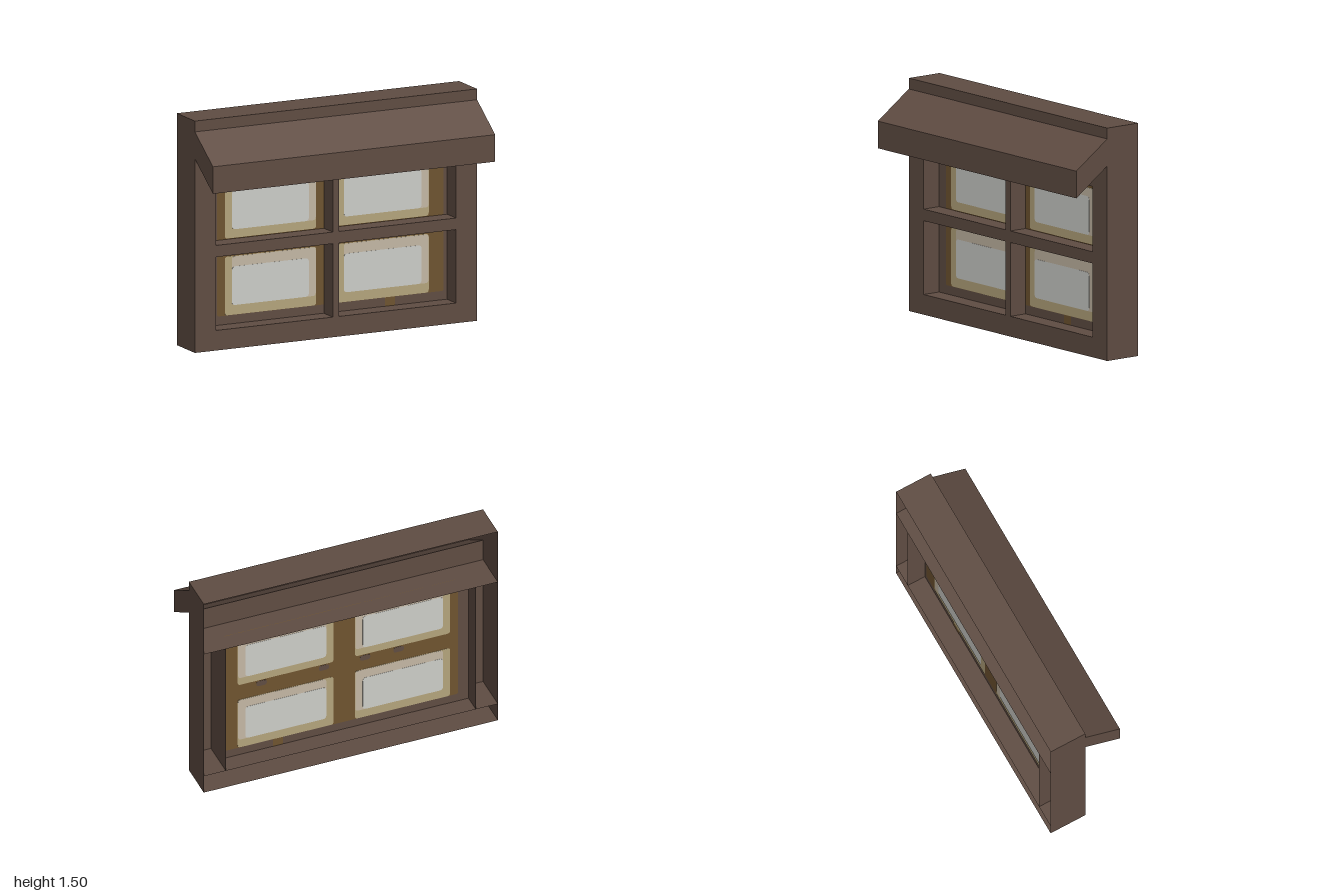
import * as THREE from 'three';

export function createModel() {
  const model = new THREE.Group();
  const mat = (name, color, side = THREE.FrontSide) => {
    const m = new THREE.MeshStandardMaterial({ color, side });
    m.name = name;
    return m;
  };
  const wood = mat('dark wood', 0x604d43, THREE.DoubleSide);
  const gold = mat('golden brown', 0x6f5430);
  const khaki = mat('khaki border', 0xb5a57d);
  const pale = mat('pale border', 0xc5b8a5);
  const pane = mat('pane white', 0xcdcec9);

  const group = (name) => {
    const g = new THREE.Group();
    g.name = name;
    model.add(g);
    return g;
  };
  const add = (parent, name, geometry, material) => {
    const mesh = new THREE.Mesh(geometry, material);
    mesh.name = name;
    parent.add(mesh);
    return mesh;
  };

  // Thin parallelogram sheet: a corner and two edge vectors
  const sheet = (parent, name, [x, y, z], u, v) => {
    const g = new THREE.PlaneGeometry(1, 1).translate(0.5, 0.5, 0);
    const [U, V] = [new THREE.Vector3(...u), new THREE.Vector3(...v)];
    const N = new THREE.Vector3().crossVectors(U, V).normalize();
    g.applyMatrix4(new THREE.Matrix4().makeBasis(U, V, N).setPosition(x, y, z));
    g.computeVertexNormals();
    return add(parent, name, g, wood);
  };

  const rect = (path, x0, y0, x1, y1) => {
    path.moveTo(x0, y0);
    path.lineTo(x1, y0);
    path.lineTo(x1, y1);
    path.lineTo(x0, y1);
    path.closePath();
    return path;
  };

  const H = 1.5, D = 0.25, GLASS_Z = -0.125;
  const openX = 0.85, openBottom = 0.13, openTop = 1.1;
  const mullion = 0.023, railBottom = 0.605, railTop = 0.68;
  const slitBottom = 1.255, slitTop = 1.43;

  // Front wall with four openings, and the strip above the awning
  const front = group('frontWall');
  const wallShape = rect(new THREE.Shape(), -1, 0, 1, slitBottom);
  for (const [x0, x1] of [[-openX, -mullion], [mullion, openX]]) {
    for (const [y0, y1] of [[openBottom, railBottom], [railTop, openTop]]) {
      wallShape.holes.push(rect(new THREE.Path(), x0, y0, x1, y1));
    }
  }
  add(front, 'pierced front', new THREE.ShapeGeometry(wallShape), wood);
  sheet(front, 'top strip', [-1, slitTop, 0], [2, 0, 0], [0, H - slitTop, 0]);

  // Open-backed casing, with full-width shelves and jambs round the window
  const casing = group('casing');
  for (const [name, y] of [['floor', 0], ['sill', openBottom], ['lintel', openTop], ['top', H]]) {
    sheet(casing, name, [-1, y, 0], [2, 0, 0], [0, 0, -D]);
  }
  for (const s of [-1, 1]) {
    sheet(casing, 'sideWall', [s, 0, 0], [0, 0, -D], [0, H, 0]);
    sheet(casing, 'jamb', [s * openX, openBottom, 0], [0, 0, -D], [0, openTop - openBottom, 0]);
  }

  // Glazing bars reach back from the front wall to the glass
  const bars = group('glazingBars');
  for (const y of [railBottom, railTop]) {
    sheet(bars, 'crossBar', [-openX, y, 0], [openX * 2, 0, 0], [0, 0, GLASS_Z]);
  }
  for (const s of [-1, 1]) {
    sheet(bars, 'uprightBar', [s * mullion, openBottom, 0], [0, 0, GLASS_Z], [0, openTop - openBottom, 0]);
  }

  // Sloping hollow awning, open to the casing
  const awning = group('awning');
  const drop = slitTop - slitBottom;
  sheet(awning, 'awningTop', [-1, slitBottom, D], [2, 0, 0], [0, drop, -D]);
  sheet(awning, 'awningUnderside', [-1, slitBottom, 0], [2, 0, 0], [0, -drop, D]);
  sheet(awning, 'awningFront', [-1, slitBottom - drop, D], [2, 0, 0], [0, drop, 0]);
  for (const s of [-1, 1]) {
    sheet(awning, 'awningEnd', [s, slitBottom, 0], [0, -drop, D], [0, drop, 0]);
  }

  // Window panel: stacked thin plates centred on the glass, alike front and back
  const win = group('window');
  const plate = (name, material, layer, x0, y0, x1, y1, r = 0) => {
    const s = new THREE.Shape();
    if (r) {
      s.moveTo(x0 + r, y0);
      s.lineTo(x1 - r, y0);
      s.quadraticCurveTo(x1, y0, x1, y0 + r);
      s.lineTo(x1, y1 - r);
      s.quadraticCurveTo(x1, y1, x1 - r, y1);
      s.lineTo(x0 + r, y1);
      s.quadraticCurveTo(x0, y1, x0, y1 - r);
      s.lineTo(x0, y0 + r);
      s.quadraticCurveTo(x0, y0, x0 + r, y0);
    } else rect(s, x0, y0, x1, y1);
    const depth = 0.0018 * layer;
    const g = new THREE.ExtrudeGeometry(s, { depth, bevelEnabled: false, curveSegments: 4 });
    add(win, name, g.translate(0, 0, GLASS_Z - depth / 2), material);
  };
  plate('backing', wood, 1, -openX, openBottom, openX, openTop);
  plate('paintedFrame', gold, 2, -0.78, 0.187, 0.825, openTop, 0.015);
  plate('frameTab', gold, 2, 0.41, openBottom, 0.48, 0.19);

  // Each light: khaki border, paler top and right border, white pane
  for (const [x0, x1] of [[-0.725, -0.078], [0.068, 0.72]]) {
    for (const [y0, y1, p0, p1] of [[0.188, 0.568, 0.25, 0.5], [0.685, 1.047, 0.74, 0.99]]) {
      plate('khakiBorder', khaki, 3, x0, y0, x1, y1, 0.02);
      plate('paleBorder', pale, 4, x0 + 0.05, p0, x1 - 0.003, y1 - 0.003, 0.02);
      plate('pane', pane, 5, x0 + 0.05, p0, x1 - 0.052, p1, 0.025);
    }
  }

  // Dark knots along the middle rail
  for (const x of [0.557, 0.133, -0.147, -0.375]) {
    plate('knot', wood, 3, x - 0.035, 0.638, x + 0.035, 0.678, 0.018);
  }
  return model;
}
